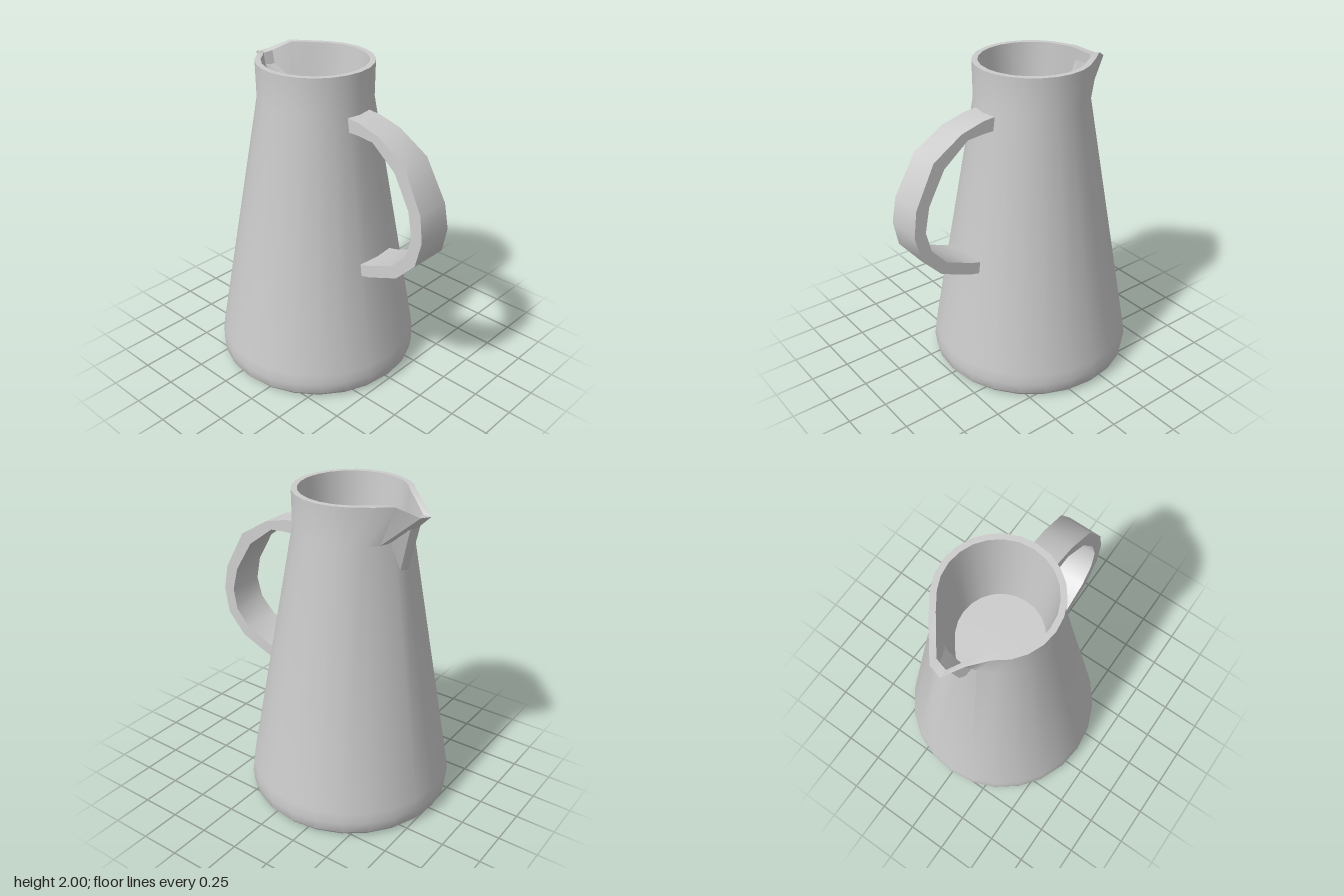
import * as THREE from 'three';
import { toCreasedNormals } from 'three/addons/utils/BufferGeometryUtils.js';

const SIDES = 24;
const CENTRE = -0.145; // x of the body's axis

// Skins a list of closed cross-sections, each an array of [x, y, z]
function loft(rings, crease) {
  const n = rings[0].length;
  const index = [];
  for (let r = 0; r < rings.length - 1; r++) {
    for (let i = 0; i < n; i++) {
      const a = r * n + i, b = r * n + (i + 1) % n;
      index.push(a, a + n, b, b, a + n, b + n);
    }
  }
  const geometry = new THREE.BufferGeometry();
  geometry.setAttribute('position', new THREE.Float32BufferAttribute(rings.flat(2), 3));
  geometry.setIndex(index);
  return toCreasedNormals(geometry, crease);
}

function circle(radius, y) {
  return Array.from({ length: SIDES }, (_, i) => {
    const a = (i / SIDES) * Math.PI * 2;
    return [CENTRE + radius * Math.cos(a), y, radius * Math.sin(a)];
  });
}

function bodyGeometry() {
  // Rim circle with a few points pulled out into the slightly skewed spout
  const rim = circle(0.355, 2);
  const spout = {
    11: [-0.555, 1.98, 0.08], 12: [-0.66, 1.93, 0], 13: [-0.64, 1.94, -0.08],
    14: [-0.53, 2, -0.16], 15: [-0.43, 2, -0.235],
  };
  for (const i in spout) rim[i] = spout[i];
  const innerRim = rim.map(([x, y, z]) => [CENTRE + (x - CENTRE) * 0.9, y, z * 0.9]);

  // Inner floor keeps a softened trace of the spout
  const floorY = 1.4;
  const round = circle(0.265, floorY);
  const floor = rim.map(([x, , z], i) => [
    THREE.MathUtils.lerp(round[i][0], CENTRE + (x - CENTRE) * 0.745, 0.65),
    floorY,
    THREE.MathUtils.lerp(round[i][2], z * 0.745, 0.65),
  ]);

  return loft([
    circle(0, 0), circle(0.608, 0), circle(0.635, 0.03), circle(0.645, 0.1), circle(0.636, 0.17),
    circle(0.352, 1.77), rim, innerRim, floor, circle(0, floorY),
  ], 0.6);
}

function handleGeometry() {
  // Matching [x, y] points along the outer and inner curves, top to bottom
  const outer = [[0.17, 1.75], [0.28, 1.74], [0.43, 1.7], [0.625, 1.58], [0.76, 1.33],
    [0.785, 1.17], [0.75, 1.01], [0.625, 0.88], [0.42, 0.8], [0.355, 0.785]];
  const inner = [[0.17, 1.665], [0.28, 1.665], [0.39, 1.655], [0.56, 1.525], [0.675, 1.33],
    [0.71, 1.18], [0.68, 1.05], [0.585, 0.945], [0.41, 0.875], [0.35, 0.86]];
  // The strap widens towards the bottom
  const halfWidth = (y) => 0.093 + (1.74 - y) * 0.047;
  const rings = outer.map(([ox, oy], i) => {
    const [ix, iy] = inner[i];
    const wo = halfWidth(oy), wi = halfWidth(iy);
    return [[ox, oy, -wo], [ix, iy, -wi], [ix, iy, wi], [ox, oy, wo]];
  });
  // Close both ends by shrinking the section to its middle
  const cap = (ring) => {
    const x = (ring[0][0] + ring[1][0]) / 2, y = (ring[0][1] + ring[1][1]) / 2;
    return ring.map(() => [x, y, 0]);
  };
  return loft([cap(rings[0]), ...rings, cap(rings[rings.length - 1])], 0.7);
}

export function createModel() {
  const group = new THREE.Group();
  group.name = 'pitcher';
  const material = new THREE.MeshStandardMaterial({ color: 0xcccccc, side: THREE.DoubleSide });
  const parts = { body: bodyGeometry(), handle: handleGeometry() };
  for (const [name, geometry] of Object.entries(parts)) {
    const mesh = new THREE.Mesh(geometry, material);
    mesh.name = name;
    group.add(mesh);
  }
  return group;
}
